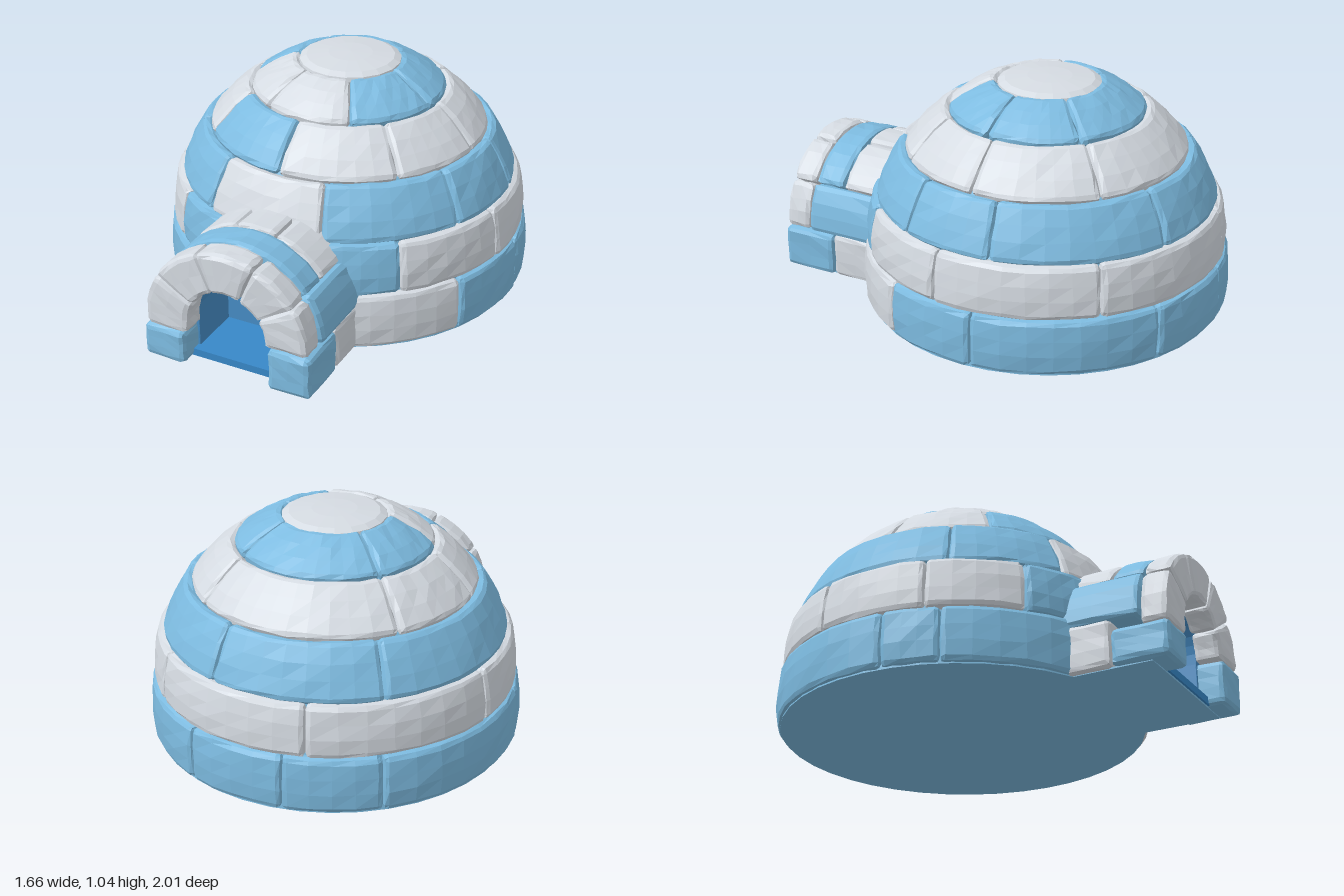
import * as THREE from 'three';

const paint = (name, color) => Object.assign(new THREE.MeshStandardMaterial({ color }), { name });
const snow = paint('snow', 0xd5dbe2);
const ice = paint('ice blue', 0x7dbbe0);
const deep = paint('deep blue', 0x468cc4);
const floorBlue = paint('floor blue', 0x3888c8);

const DOME_Z = -0.17;

// Repeatable small offset from a position, for a hand-cut surface
const wobble = (x, y, z, k) => {
  const s = Math.sin(x * 127.1 + y * 311.7 + z * 74.7 + k * 53.3) * 437.58;
  return (s - Math.floor(s)) * 2 - 1;
};

// Round-edged box in (u, v, w), bent into place by map(u, v, w)
function block(name, material, lo, hi, seg, bevel, map) {
  const boxed = new THREE.BoxGeometry(1, 1, 1, ...seg);
  const pos = boxed.attributes.position;
  for (let i = 0; i < pos.count; i++) {
    const core = [], off = [];
    for (let k = 0; k < 3; k++) {
      const n = seg[k], j = Math.round((pos.getComponent(i, k) + 0.5) * n);
      const a = lo[k] + bevel, b = hi[k] - bevel;
      const f = Math.min(Math.max((j - 1) / (n - 2), 0), 1);
      core[k] = a + (b - a) * f;
      off[k] = j === 0 ? -1 : j === n ? 1 : 0;
    }
    const len = Math.hypot(...off) || 1;
    const q = core.map((c, k) => c + (off[k] / len) * bevel);
    const r = q.map((c) => Math.round(c * 1000) / 1000);
    const p = map(...q.map((c, k) => c + wobble(...r, k) * bevel * 0.13));
    pos.setXYZ(i, p[0], p[1], p[2]);
  }
  return faceted(name, boxed, material);
}

function faceted(name, source, material) {
  const geometry = source.toNonIndexed();
  geometry.computeVertexNormals();
  const mesh = new THREE.Mesh(geometry, material);
  mesh.name = name;
  return mesh;
}

function lathe(name, points, sides, material) {
  const profile = points.map(([r, y]) => new THREE.Vector2(r, y));
  return faceted(name, new THREE.LatheGeometry(profile, sides), material);
}

// Axis-aligned slab between two corners
function slab(name, lo, hi, material) {
  const [w, h, d] = hi.map((c, k) => c - lo[k]);
  const mesh = new THREE.Mesh(new THREE.BoxGeometry(w, h, d), material);
  mesh.name = name;
  mesh.position.set(...hi.map((c, k) => (c + lo[k]) / 2));
  return mesh;
}

// Dome rows: lower and upper [radius, height], seam angles from the front, colour per block
const ROWS = [
  { from: [0.825, 0.004], to: [0.82, 0.259], colours: 'wbbbbbbb',
    seams: [0.3, 1.09, 1.63, 2.65, 3.21, 3.73, 4.81, 5.12, 5.98] },
  { from: [0.813, 0.257], to: [0.785, 0.493], colours: 'bwwwwwwb',
    seams: [0.3, 0.74, 1.4, 2.32, 3.33, 4.4, 5.03, 5.56, 5.98] },
  { from: [0.77, 0.49], to: [0.655, 0.72], colours: 'wbbbbbb',
    seams: [-0.46, 0.3, 1.13, 1.71, 2.75, 3.76, 5.15, 5.823] },
  { from: [0.638, 0.716], to: [0.455, 0.9], colours: 'bwwwwww',
    seams: [-0.86, -0.05, 0.8, 1.5, 2.4, 3.92, 4.7, 5.423] },
  { from: [0.445, 0.896], to: [0.235, 1.022], colours: 'wbbbbw',
    seams: [-0.5, 0.46, 1.4, 2.36, 3.93, 4.9, 5.783] },
];

function domeRow({ from, to, seams, colours }, index) {
  const row = new THREE.Group();
  row.name = `domeRow${index + 1}`;
  const dr = to[0] - from[0], dy = to[1] - from[1];
  const h = Math.hypot(dr, dy), tr = dr / h, ty = dy / h;
  const mid = (from[0] + to[0]) / 2;
  const map = (u, v, w) => {
    const out = w + 0.01 * Math.sin((Math.PI * v) / h);
    const r = from[0] + tr * v + ty * out;
    const y = from[1] + ty * v - tr * out;
    return [r * Math.sin(u / mid), y, r * Math.cos(u / mid) + DOME_Z];
  };
  [...colours].forEach((c, i) => {
    const n = Math.max(5, Math.round((seams[i + 1] - seams[i]) * 6) + 3);
    row.add(block('domeBlock', c === 'w' ? snow : ice,
      [seams[i] * mid, 0, -0.1], [seams[i + 1] * mid, h, 0], [n, 5, 3], 0.024, map));
  });
  return row;
}

// Arch coordinates: u runs up the left leg, over the top and down the right; w runs outward
const LEG = 0.22, BEND = 0.3, ARCH = 2 * LEG + BEND * Math.PI, THICK = 0.185;
function archMap(u, v, w) {
  if (u < LEG) return [0.2 + w, u, v];
  if (u > ARCH - LEG) return [-0.2 - w, ARCH - u, v];
  const a = (u - LEG) / BEND;
  return [(0.2 + w) * Math.cos(a), LEG + (0.2 + w * 0.92) * Math.sin(a), v];
}

function archStones(group, name, material, seams, z0, z1, outer = THICK, inner = 0) {
  for (let i = 0; i + 1 < seams.length; i++) {
    const n = Math.max(5, Math.round((seams[i + 1] - seams[i]) * 16) + 2);
    group.add(block(name, material, [seams[i], z0, inner],
      [seams[i + 1], z1, outer], [n, 4, 4], 0.024, archMap));
  }
}

function entrance() {
  const g = new THREE.Group();
  g.name = 'entranceTunnel';
  // Front ring and its feet
  archStones(g, 'frontArchStone', snow, [0.205, 0.394, 0.58, 0.8, 1.0, 1.22], 0.87, 0.995, THICK, -0.018);
  archStones(g, 'frontFoot', ice, [0.005, 0.205], 0.74, 1.0, 0.198);
  archStones(g, 'frontFoot', ice, [1.22, ARCH - 0.005], 0.74, 1.0, 0.198);
  // Rear feet and side stones
  archStones(g, 'rearFoot', snow, [0.005, 0.215], 0.5, 0.74, 0.193);
  archStones(g, 'rearFoot', snow, [ARCH - 0.215, ARCH - 0.005], 0.5, 0.74, 0.193);
  archStones(g, 'sideStone', ice, [0.205, 0.394], 0.45, 0.87, 0.193);
  archStones(g, 'sideStone', ice, [ARCH - 0.394, ARCH - 0.205], 0.45, 0.87, 0.193);
  // Roof rings
  archStones(g, 'middleRoofStone', ice, [0.394, ARCH - 0.394], 0.72, 0.87);
  archStones(g, 'rearRoofStone', snow, [0.394, 0.613, 0.769, ARCH - 0.394], 0.45, 0.72);
  // Dark interior: lining, back wall and floor over a ground slab
  g.add(block('tunnelLining', deep, [0.01, 0.5, -0.01], [ARCH - 0.01, 0.88, 0.03],
    [24, 4, 3], 0.004, archMap));
  g.add(slab('tunnelBackWall', [-0.24, 0.01, 0.5], [0.24, 0.43, 0.64], deep));
  g.add(slab('tunnelFloor', [-0.22, 0.008, 0.5], [0.22, 0.042, 0.92], floorBlue));
  g.add(slab('groundSlab', [-0.36, 0, 0.4], [0.36, 0.008, 0.91], ice));
  return g;
}

export function createModel() {
  const model = new THREE.Group();
  model.name = 'igloo';

  // Inner shell behind the blocks, closed at the ground
  const shell = lathe('innerShell', [[0, 0], [0.81, 0], [0.785, 0.25], [0.745, 0.49],
    [0.61, 0.71], [0.41, 0.87], [0.2, 0.98], [0, 0.99]], 40, ice);
  shell.position.z = DOME_Z;
  model.add(shell);

  ROWS.forEach((row, i) => model.add(domeRow(row, i)));

  // Round stone closing the top
  const cap = lathe('capStone', [[0.2, 0.93], [0.235, 0.99], [0.23, 1.012], [0.2, 1.027],
    [0.1, 1.037], [0, 1.04]], 18, snow);
  cap.position.z = DOME_Z - 0.01;
  model.add(cap);

  model.add(entrance());
  return model;
}
